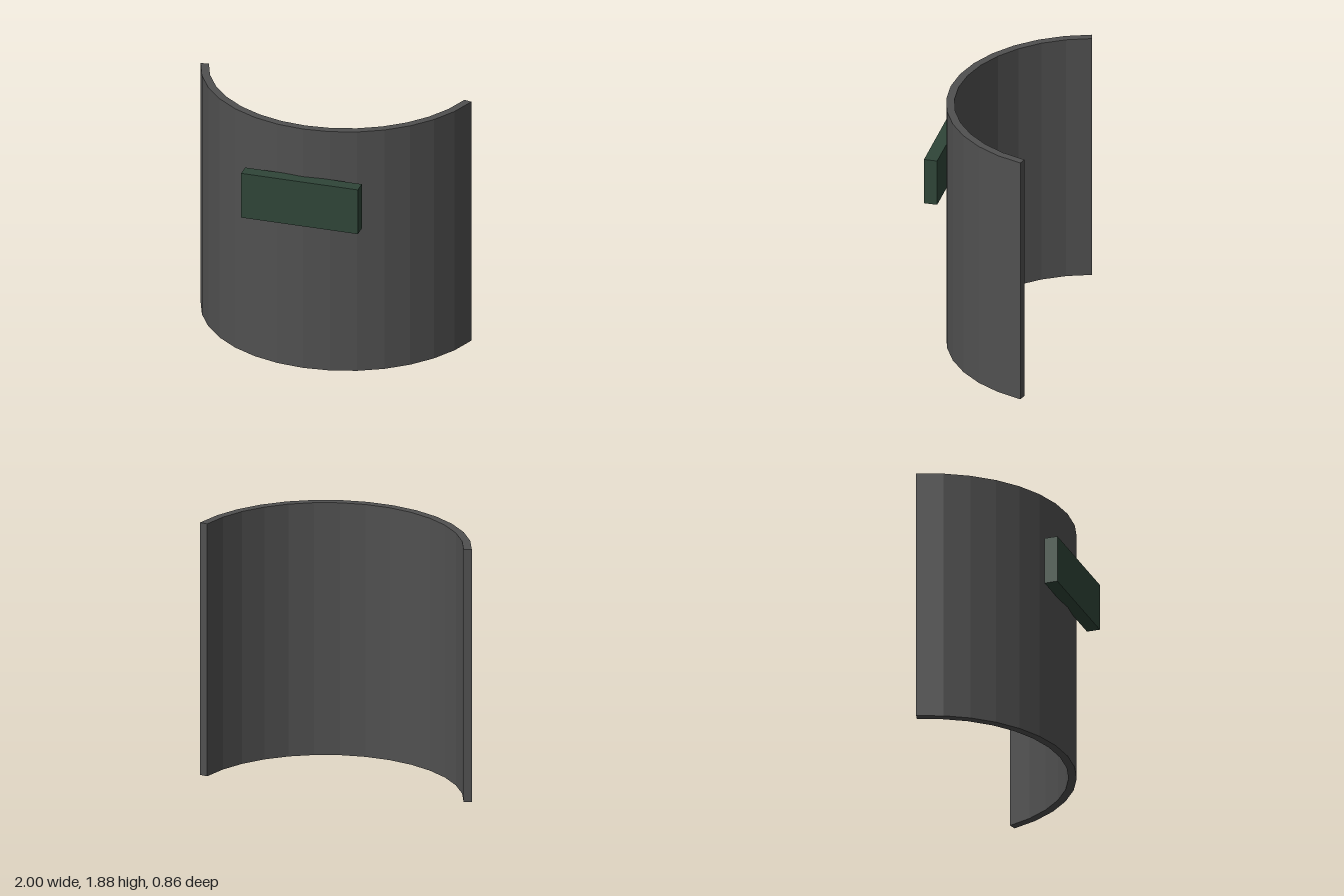
import * as THREE from 'three';

const OUTER = 1.035, INNER = 0.977, CENTRE_Z = -0.684;
const HALF_ANGLE = THREE.MathUtils.degToRad(75), SEGMENTS = 14, HEIGHT = 1.88;

// Points along an arc bulging towards the front, with -z as the shape's y
function arc(radius) {
  return Array.from({ length: SEGMENTS + 1 }, (_, i) => {
    const a = HALF_ANGLE * (2 * i / SEGMENTS - 1);
    return new THREE.Vector2(radius * Math.sin(a), -CENTRE_Z - radius * Math.cos(a));
  });
}

export function createModel() {
  const model = new THREE.Group();
  model.name = 'curvedShield';

  const darkGrey = new THREE.MeshStandardMaterial({ color: 0x505050 });
  darkGrey.name = 'dark grey';
  const darkGreen = new THREE.MeshStandardMaterial({ color: 0x2f4538 });
  darkGreen.name = 'dark green';

  // Curved faceted wall: an arc band extruded upwards
  const band = new THREE.Shape([...arc(OUTER), ...arc(INNER).reverse()]);
  const wallGeometry = new THREE.ExtrudeGeometry(band, { depth: HEIGHT, bevelEnabled: false });
  wallGeometry.rotateX(-Math.PI / 2);
  const wall = new THREE.Mesh(wallGeometry, darkGrey);
  wall.name = 'curvedWall';
  model.add(wall);

  // Flat block on the front
  const plate = new THREE.Mesh(new THREE.BoxGeometry(0.862, 0.348, 0.096), darkGreen);
  plate.name = 'frontPlate';
  plate.position.set(0, 1.331, 0.385);
  model.add(plate);

  return model;
}
